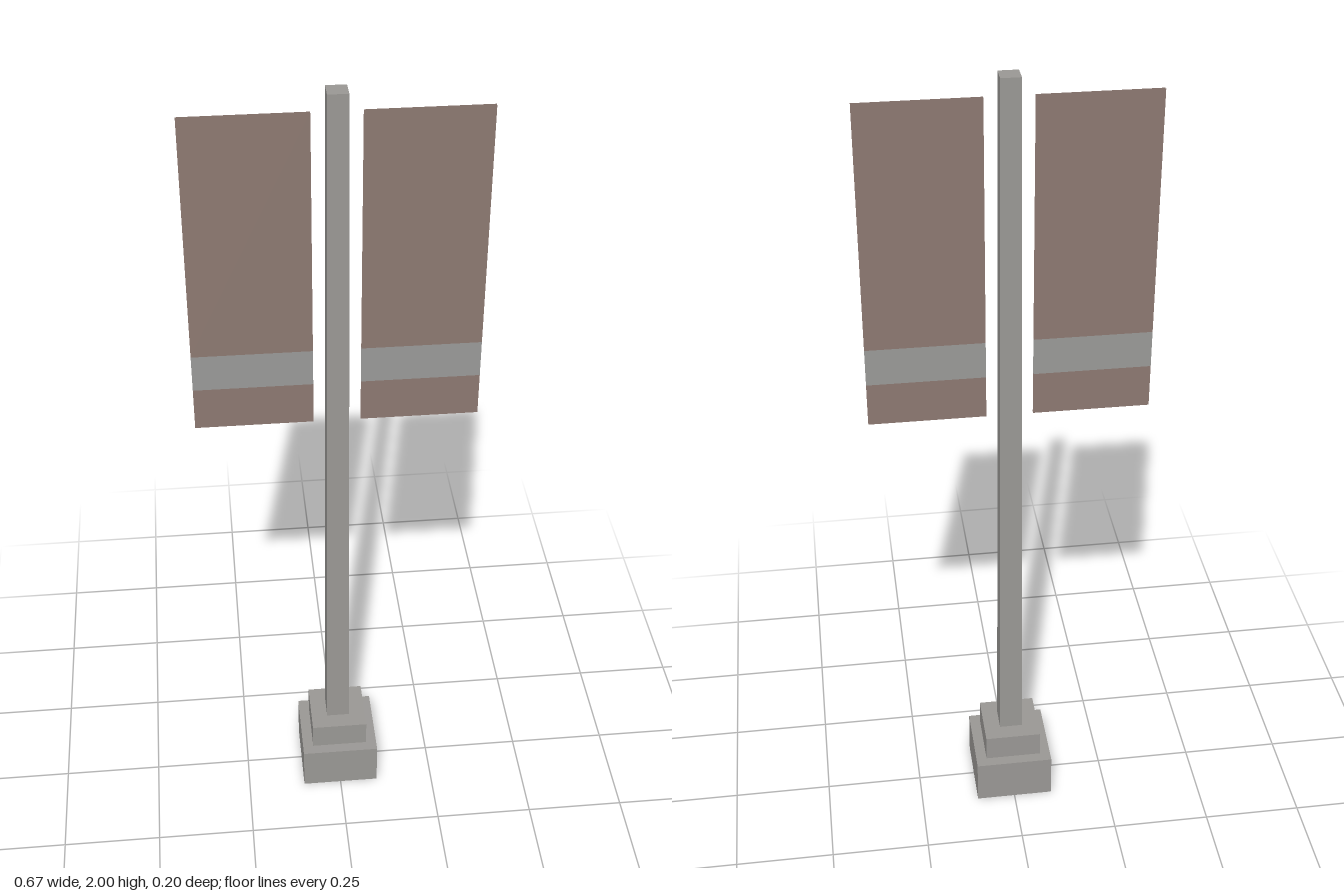
import * as THREE from 'three';

export function createModel() {
  const group = new THREE.Group();
  const stone = new THREE.MeshStandardMaterial({ name: 'warm grey', color: 0x9a9895, side: THREE.DoubleSide });
  const cloth = new THREE.MeshStandardMaterial({ name: 'dusty brown', color: 0x8d7971, side: THREE.DoubleSide });
  const band = new THREE.MeshStandardMaterial({ name: 'cool grey', color: 0x9a9a98, side: THREE.DoubleSide });

  function add(name, geometry, material, parent = group) {
    const mesh = new THREE.Mesh(geometry, material);
    mesh.name = name;
    parent.add(mesh);
    return mesh;
  }

  // Square block, open underneath, that can taper towards its top
  function openBlock(bottom, top, y0, y1) {
    const geo = new THREE.BoxGeometry(bottom, y1 - y0, bottom);
    const index = Array.from(geo.index.array);
    index.splice(18, 6); // bottom face
    geo.setIndex(index);
    geo.clearGroups();
    const p = geo.attributes.position;
    for (let i = 0; i < p.count; i++) {
      const s = p.getY(i) > 0 ? top / bottom : 1;
      p.setXYZ(i, p.getX(i) * s, p.getY(i), p.getZ(i) * s);
    }
    geo.translate(0, (y0 + y1) / 2, 0);
    geo.computeVertexNormals();
    return geo;
  }

  // Stepped base and tapered pole
  add('base', openBlock(0.2, 0.2, 0, 0.12), stone);
  add('plinth', openBlock(0.145, 0.145, 0.12, 0.19), stone);
  add('pole', openBlock(0.06, 0.046, 0.19, 2), stone);

  // Two banners, each a front and a back sheet with a band across
  const sections = [
    ['lowerCloth', 1.163, 1.27, cloth],
    ['stripe', 1.27, 1.362, band],
    ['upperCloth', 1.362, 1.952, cloth],
  ];
  for (const side of [-1, 1]) {
    const banner = new THREE.Group();
    banner.name = side > 0 ? 'leftBanner' : 'rightBanner';
    group.add(banner);
    for (const facing of [-1, 1]) {
      for (const [name, y0, y1, material] of sections) {
        const sheet = add(name, new THREE.PlaneGeometry(0.28, y1 - y0), material, banner);
        sheet.position.set(side * 0.196, (y0 + y1) / 2, facing * 0.003);
        if (facing < 0) sheet.rotation.y = Math.PI;
      }
    }
  }
  return group;
}
